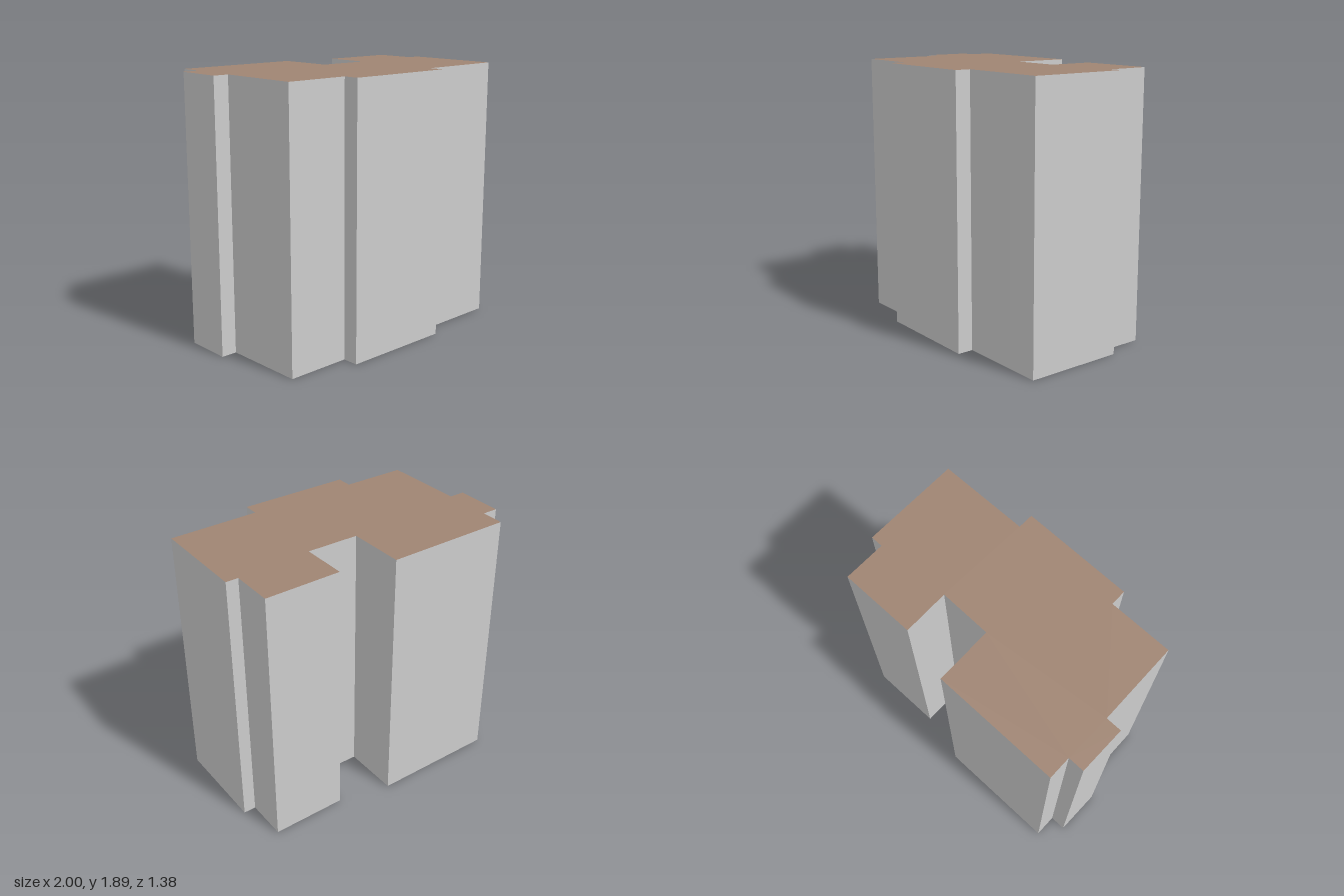
import * as THREE from 'three';

const HEIGHT = 1.89;

// Floor plan corners as [x, z]
const PLAN = [
  [-0.81, -0.693], [0.077, -0.553], [0.018, -0.148], [0.383, -0.085],
  [0.43, -0.41], [0.96, -0.328], [0.914, -0.031], [1, -0.017],
  [0.89, 0.675], [0.258, 0.581], [0.24, 0.69], [-0.541, 0.565],
  [-0.525, 0.454], [-0.973, 0.383], [-0.89, -0.2], [-1, -0.217],
  [-0.947, -0.55], [-0.834, -0.532],
];

export function createModel() {
  const wall = new THREE.MeshStandardMaterial({ color: 0xcccccc });
  wall.name = 'wallGrey';
  const roof = new THREE.MeshStandardMaterial({ color: 0x9f8472 });
  roof.name = 'roofBrown';

  // Tower block: the plan raised to full height
  const shape = new THREE.Shape(PLAN.map(([x, z]) => new THREE.Vector2(x, -z)));
  const geometry = new THREE.ExtrudeGeometry(shape, { depth: HEIGHT, bevelEnabled: false });
  geometry.rotateX(-Math.PI / 2);

  // Faces run floor, roof, walls; only the roof is brown
  const [caps, sides] = geometry.groups.map((g) => g.count);
  geometry.clearGroups();
  geometry.addGroup(0, caps / 2, 0);
  geometry.addGroup(caps / 2, caps / 2, 1);
  geometry.addGroup(caps, sides, 0);

  const building = new THREE.Mesh(geometry, [wall, roof]);
  building.name = 'buildingBlock';

  const group = new THREE.Group();
  group.name = 'building';
  group.add(building);
  return group;
}
